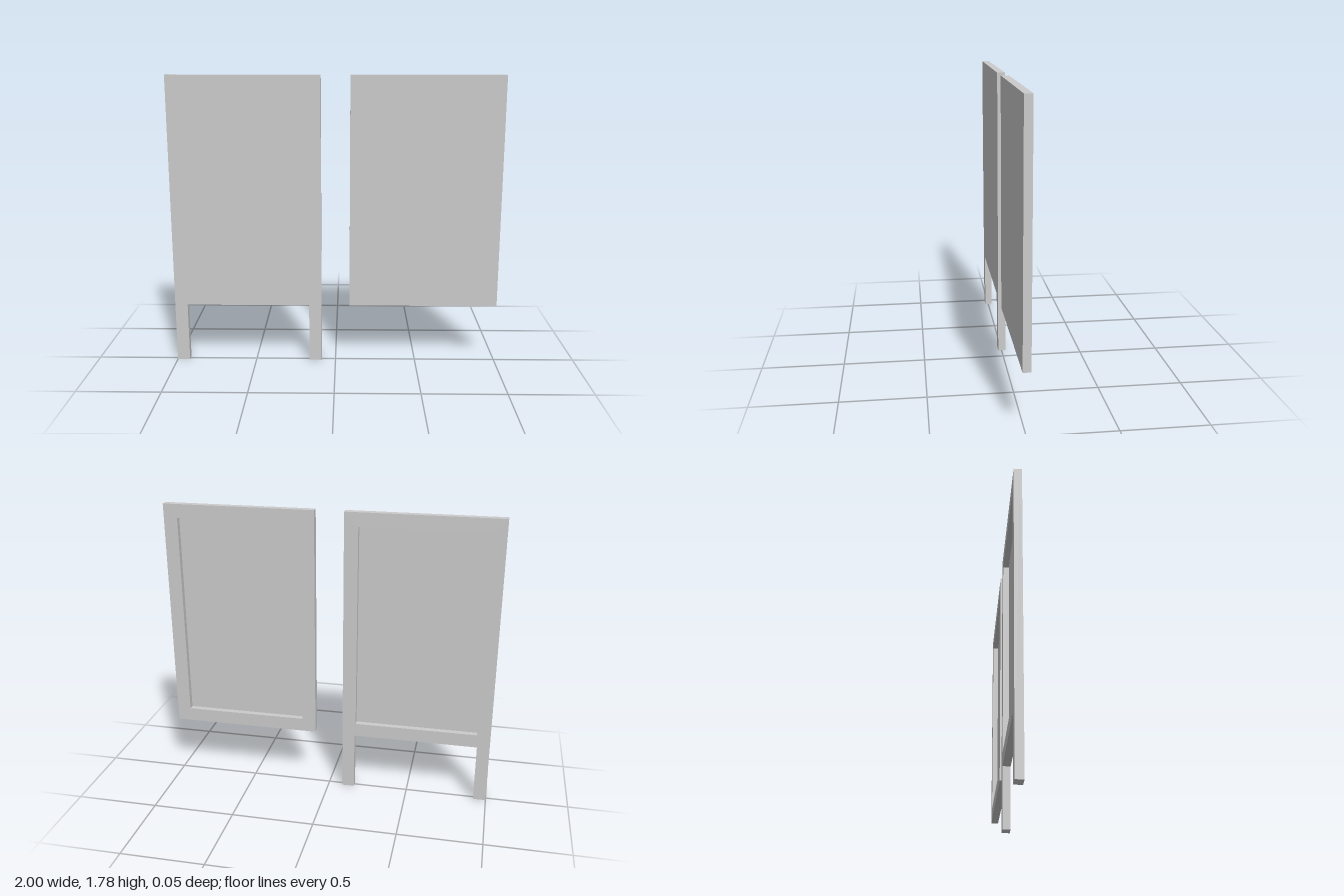
import * as THREE from 'three';

const WIDTH = 0.913, TOP = 1.78, BOTTOM = 0.365;
const DEPTH = 0.046, SKIN = 0.011;   // total thickness, front skin thickness
const RAIL = 0.083, LEG = 0.077;     // frame rail and leg widths
const LEAN = 0.0022;                 // slight forward tilt

// Outline of a board, optionally with two legs, x centred on 0
function outline(hasLegs) {
  const w = WIDTH / 2;
  const points = [[-w, BOTTOM], [w, BOTTOM], [w, TOP], [-w, TOP]];
  if (hasLegs) {
    points.splice(0, 2,
      [-w, 0], [-w + LEG, 0], [-w + LEG, BOTTOM],
      [w - LEG, BOTTOM], [w - LEG, 0], [w, 0]);
  }
  return new THREE.Shape(points.map(([x, y]) => new THREE.Vector2(x, y)));
}

function slab(shape, depth, z, name, material) {
  const geometry = new THREE.ExtrudeGeometry(shape, { depth, bevelEnabled: false });
  geometry.translate(0, 0, z);
  const mesh = new THREE.Mesh(geometry, material);
  mesh.name = name;
  return mesh;
}

function createBoard(name, hasLegs, material) {
  const board = new THREE.Group();
  board.name = name;

  // Rear frame around the recess
  const frame = outline(hasLegs);
  const x = WIDTH / 2 - RAIL, y0 = BOTTOM + RAIL, y1 = TOP - RAIL;
  frame.holes.push(new THREE.Path(
    [[-x, y0], [-x, y1], [x, y1], [x, y0]].map(([a, b]) => new THREE.Vector2(a, b))));
  board.add(slab(frame, DEPTH - SKIN, -DEPTH / 2, 'rearFrame', material));

  // Flat front skin, which also closes the recess
  board.add(slab(outline(hasLegs), SKIN, DEPTH / 2 - SKIN, 'frontPanel', material));

  board.rotation.x = LEAN;
  board.position.z = -LEAN * TOP / 2;
  return board;
}

export function createModel() {
  const model = new THREE.Group();
  model.name = 'displayBoards';
  const material = new THREE.MeshStandardMaterial({ color: 0xcccccc, flatShading: true });

  // Board on legs at the right, plain hanging board at the left
  const standing = createBoard('standingBoard', true, material);
  standing.position.x = -1 + WIDTH / 2;
  const hanging = createBoard('hangingBoard', false, material);
  hanging.position.x = 1 - WIDTH / 2;
  model.add(standing, hanging);
  return model;
}
